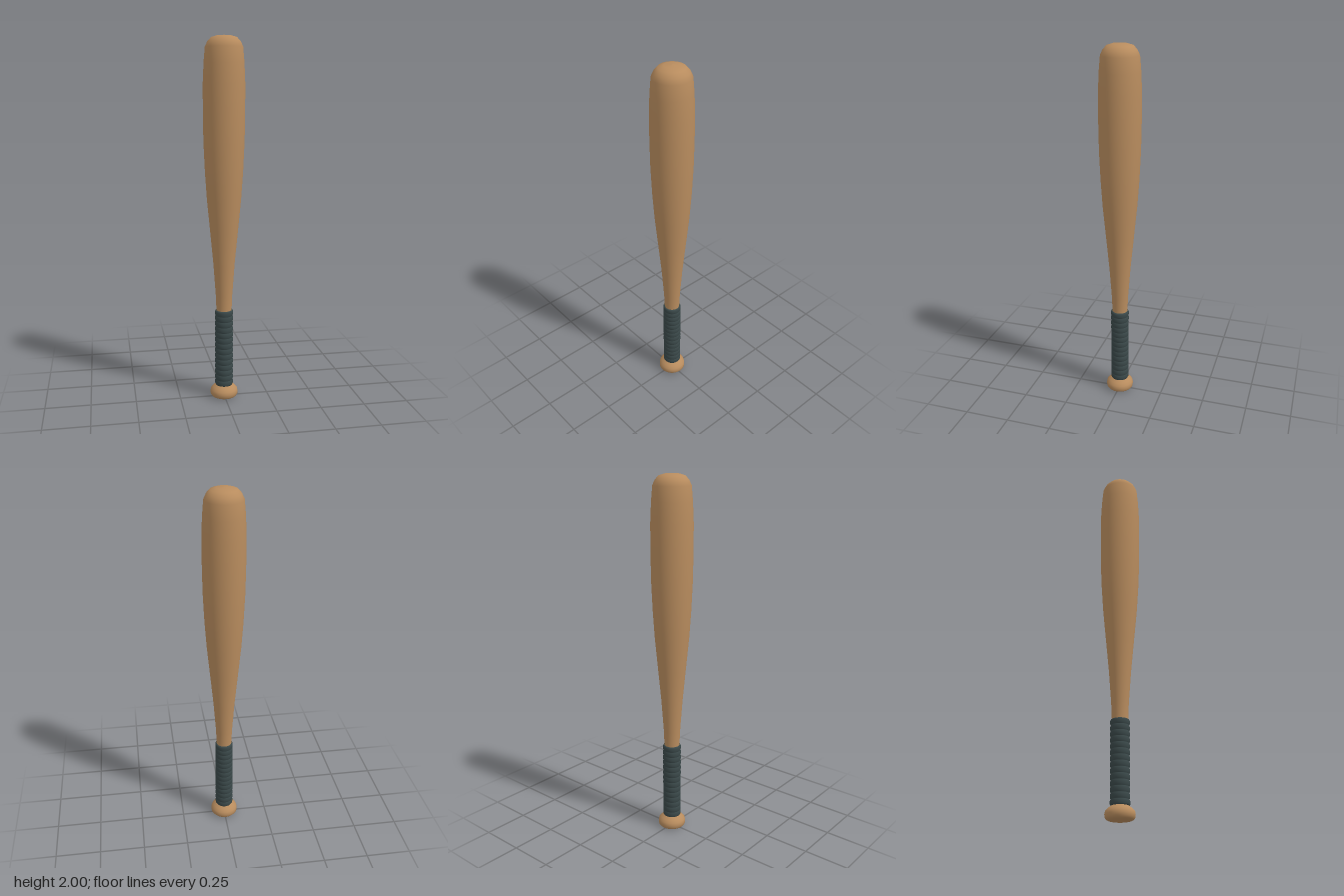
import * as THREE from 'three';

const wood = new THREE.MeshStandardMaterial({ name: 'wood', color: 0xb88c5e });
const gripTape = new THREE.MeshStandardMaterial({ name: 'gripTape', color: 0x3a4849 });

// Turned part from [radius, height] pairs, listed bottom to top
function turned(name, profile, material) {
  const points = profile.map(([r, y]) => new THREE.Vector2(r, y));
  const mesh = new THREE.Mesh(new THREE.LatheGeometry(points, 48), material);
  mesh.name = name;
  return mesh;
}

export function createModel() {
  const bat = new THREE.Group();
  bat.name = 'bat';

  // Flared knob at the foot of the handle
  bat.add(turned('knob', [
    [0, 0], [0.055, 0], [0.068, 0.005], [0.076, 0.015], [0.077, 0.03],
    [0.074, 0.045], [0.062, 0.058], [0.048, 0.07], [0.04, 0.075],
  ], wood));

  // Handle core tapering out into the barrel and its rounded end
  bat.add(turned('barrel', [
    [0.042, 0.06], [0.042, 0.5], [0.046, 0.6], [0.059, 0.78], [0.076, 0.96],
    [0.093, 1.14], [0.103, 1.29], [0.11, 1.45], [0.112, 1.6], [0.112, 1.75],
    [0.107, 1.86], [0.1, 1.94], [0.087, 1.968], [0.068, 1.988],
    [0.04, 1.997], [0, 2],
  ], wood));

  // Wrapped grip: overlapping bands with a shallow groove between them
  const bands = 14, bottom = 0.07, top = 0.512;
  const step = (top - bottom) / bands;
  const profile = [[0.041, bottom]];
  for (let i = 0; i < bands; i++) {
    const y = bottom + i * step;
    profile.push([0.047, y + 0.001], [0.0505, y + step * 0.25],
      [0.0505, y + step * 0.75], [0.047, y + step - 0.001]);
  }
  profile.push([0.041, top]);
  bat.add(turned('grip', profile, gripTape));

  return bat;
}
